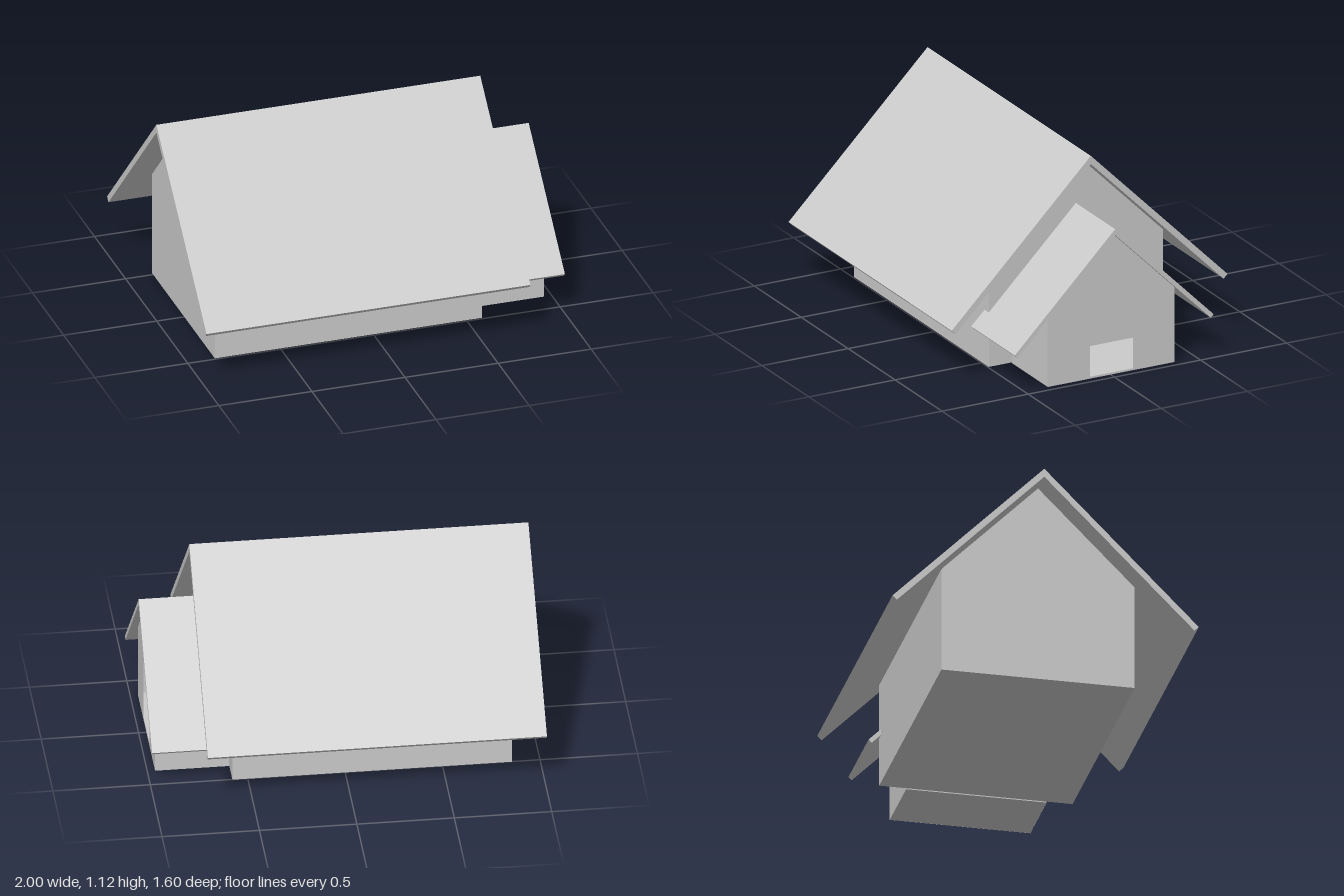
import * as THREE from 'three';

const material = new THREE.MeshStandardMaterial({ color: 0xcccccc, flatShading: true, side: THREE.DoubleSide });
const RIDGE_Z = -0.005;

// Shape from [z, y] points, to be turned so that it faces +x
const profile = (points) => new THREE.Shape(points.map(([z, y]) => new THREE.Vector2(-z, y)));

function addMesh(parent, name, geometry) {
  const mesh = new THREE.Mesh(geometry, material);
  mesh.name = name;
  parent.add(mesh);
}

// Extrudes a [z, y] profile along x from x0 to x1
function prism(points, x0, x1) {
  const geometry = new THREE.ExtrudeGeometry(profile(points), { depth: x1 - x0, bevelEnabled: false });
  return geometry.rotateY(Math.PI / 2).translate(x0, 0, 0);
}

// Outline of a gabled wall with 45 degree slopes
function gable(front, back, bottom, apex) {
  return [
    [front, bottom], [back, bottom], [back, apex - (RIDGE_Z - back)],
    [RIDGE_Z, apex], [front, apex - (front - RIDGE_Z)],
  ];
}

// Two sloping slabs that meet at the ridge; the front one is slightly longer
function addRoof(parent, name, apex, rise, frontRun, backRun, x0, x1) {
  for (const [side, run, label] of [[1, frontRun, 'Front'], [-1, backRun, 'Back']]) {
    const tipZ = RIDGE_Z + side * run;
    const tipY = apex - run;
    addMesh(parent, name + label, prism([
      [RIDGE_Z, apex], [tipZ, tipY],
      [tipZ - side * rise / 2, tipY - rise / 2], [RIDGE_Z, apex - rise],
    ], x0, x1));
  }
}

export function createModel() {
  const house = new THREE.Group();
  house.name = 'house';

  // Main building
  addMesh(house, 'mainWalls', prism(gable(0.5, -0.51, 0.005, 1.075), -0.855, 0.58));
  addRoof(house, 'mainRoof', 1.12, 0.045, 0.807, 0.793, -1, 0.74);

  // Hollow entrance porch
  const porch = new THREE.Group();
  porch.name = 'porch';
  house.add(porch);
  const x0 = 0.58, x1 = 0.96, front = 0.365, back = -0.37, eave = 0.408;

  // Gabled entrance wall with a doorway
  const entrance = profile(gable(front, back, 0, 0.775));
  entrance.holes.push(profile([[0.12, 0.01], [0.12, 0.345], [-0.13, 0.345], [-0.13, 0.01]]));
  addMesh(porch, 'entranceWall', new THREE.ShapeGeometry(entrance).rotateY(Math.PI / 2).translate(x1, 0, 0));

  // Thin side walls
  for (const [z, name, turn] of [[front, 'porchFrontWall', 0], [back, 'porchBackWall', Math.PI]]) {
    addMesh(porch, name, new THREE.PlaneGeometry(x1 - x0, eave)
      .rotateY(turn).translate((x0 + x1) / 2, eave / 2, z));
  }

  // Floor slab
  addMesh(porch, 'porchFloor', new THREE.BoxGeometry(x1 - x0 - 0.002, 0.01, front - back - 0.002)
    .translate((x0 + x1) / 2, 0.005, (front + back) / 2));

  addRoof(porch, 'porchRoof', 0.808, 0.033, 0.583, 0.571, 0.535, 1);
  return house;
}
